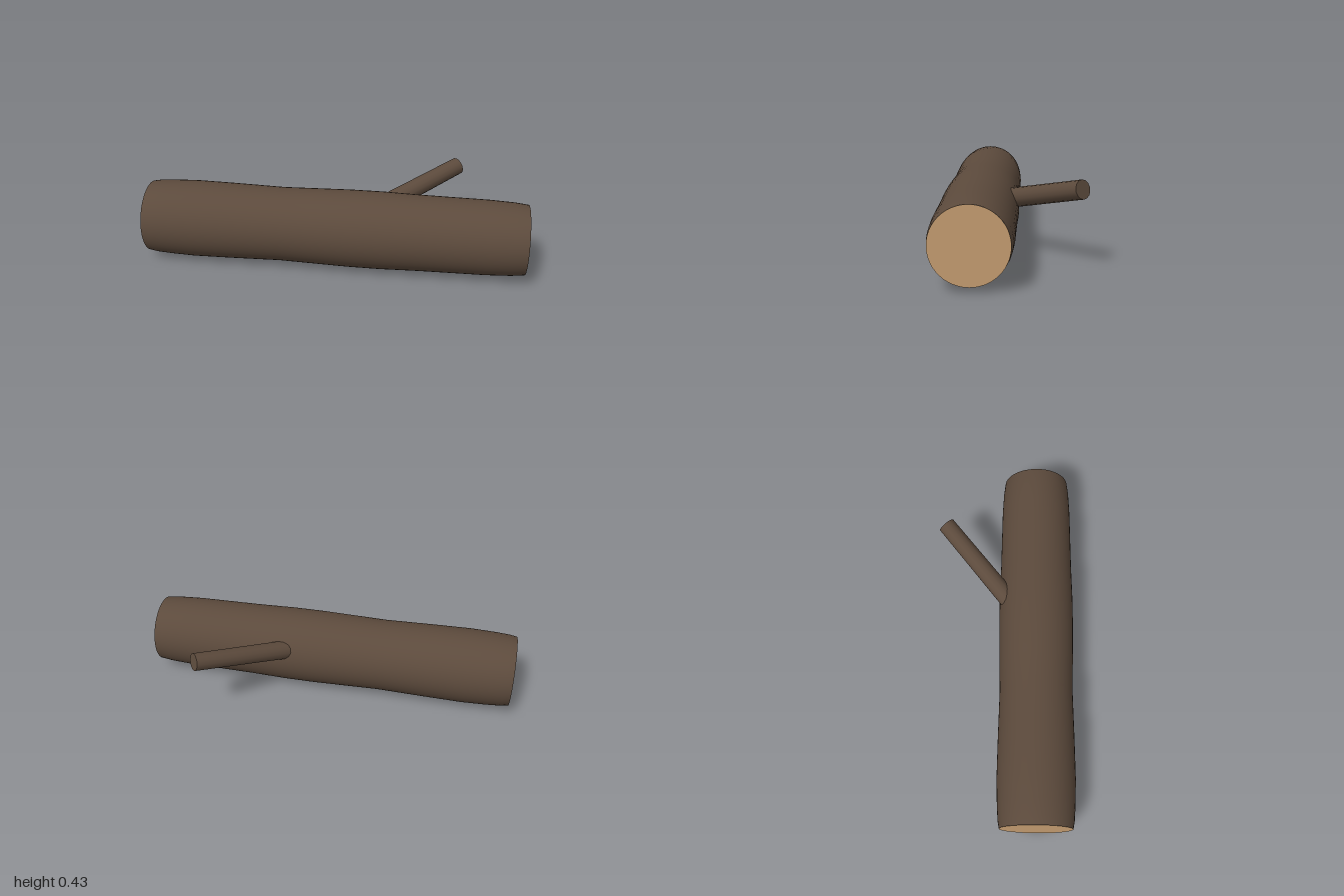
import * as THREE from 'three';

const CENTRE_Y = 0.207, CENTRE_Z = 0.167;

export function createModel() {
  const model = new THREE.Group();
  model.name = 'log';
  const bark = new THREE.MeshStandardMaterial({ name: 'bark brown', color: 0x5c4a3c });
  const wood = new THREE.MeshStandardMaterial({ name: 'cut wood tan', color: 0xc49c70 });

  const add = (name, geometry, material) => {
    const mesh = new THREE.Mesh(geometry, material);
    mesh.name = name;
    model.add(mesh);
    return mesh;
  };

  // Trunk: gently wavy profile (radius, x) turned around the x axis
  const profile = [
    [0.189, -1], [0.196, -0.96], [0.201, -0.88], [0.205, -0.75], [0.202, -0.55],
    [0.196, -0.28], [0.2, -0.1], [0.204, 0.08], [0.204, 0.25], [0.199, 0.45],
    [0.197, 0.62], [0.195, 0.8], [0.189, 0.93], [0.181, 0.998],
  ].map(([r, x]) => new THREE.Vector2(r, x));
  const trunk = add('trunk', new THREE.LatheGeometry(profile, 48), bark);
  trunk.rotation.z = -Math.PI / 2;
  trunk.position.set(0, CENTRE_Y, CENTRE_Z);

  // Sawn faces on both ends
  for (const [name, side, radius] of [['leftCutFace', 1, 0.181], ['rightCutFace', -1, 0.189]]) {
    const face = add(name, new THREE.CircleGeometry(radius, 48), wood);
    face.rotation.y = side * Math.PI / 2;
    face.position.set(side * 0.9995, CENTRE_Y, CENTRE_Z);
  }

  // Branch stub rising out of the back
  const base = new THREE.Vector3(0.18, 0.259, 0.06);
  const tip = new THREE.Vector3(0.63, 0.388, -0.338);
  const along = tip.clone().sub(base);
  const branch = add('branch', new THREE.CylinderGeometry(0.047, 0.052, along.length(), 14), bark);
  branch.position.copy(base).add(tip).multiplyScalar(0.5);
  branch.quaternion.setFromUnitVectors(new THREE.Vector3(0, 1, 0), along.normalize());

  return model;
}
